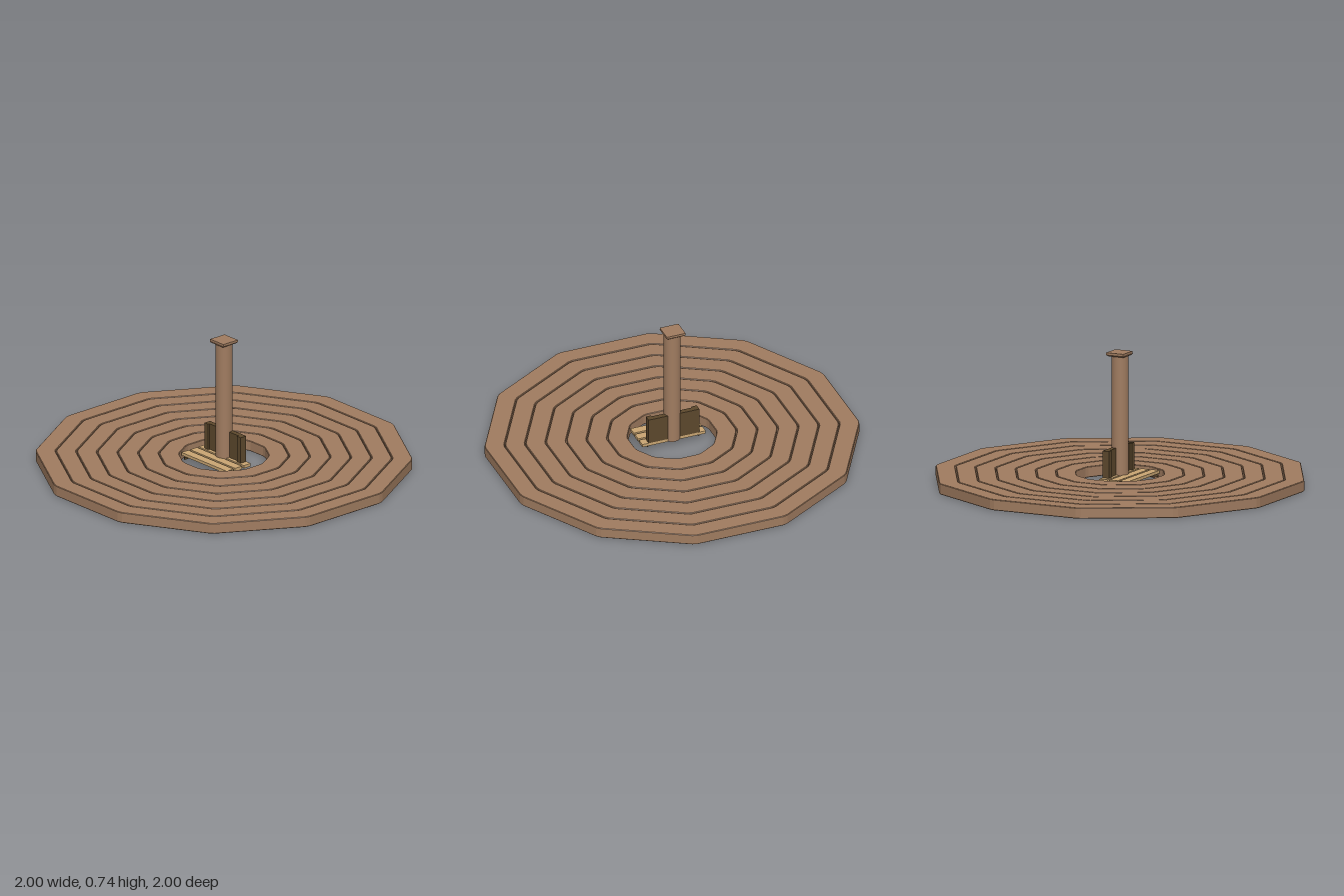
import * as THREE from 'three';

const SIDES = 12;
const wood = new THREE.MeshStandardMaterial({ color: 0xa07c60 });
const paleWood = new THREE.MeshStandardMaterial({ color: 0xcaa673 });
const darkWood = new THREE.MeshStandardMaterial({ color: 0x5c482c });

// Twelve-sided outline with softened corners; flat sides face the axes
function outline(apothem, cut) {
  const points = [];
  const half = apothem * Math.tan(Math.PI / SIDES) - cut;
  for (let i = 0; i < SIDES; i++) {
    const a = (i / SIDES) * Math.PI * 2;
    for (const t of [-half, half]) {
      points.push(new THREE.Vector2(
        apothem * Math.cos(a) - t * Math.sin(a),
        apothem * Math.sin(a) + t * Math.cos(a)));
    }
  }
  return points;
}

// One ring of the deck, with slightly eased edges
function deckRing(inner, outer, height) {
  const bevel = 0.003;
  const shape = new THREE.Shape(outline(outer, 0.015));
  shape.holes.push(new THREE.Path(outline(inner, 0.012).reverse()));
  const geometry = new THREE.ExtrudeGeometry(shape, {
    depth: height - 2 * bevel, bevelThickness: bevel, bevelSize: bevel,
    bevelOffset: -bevel, bevelSegments: 1,
  });
  geometry.rotateX(-Math.PI / 2);
  geometry.translate(0, bevel, 0);
  return geometry;
}

function add(group, name, geometry, material, x = 0, y = 0, z = 0) {
  const mesh = new THREE.Mesh(geometry, material);
  mesh.name = name;
  mesh.position.set(x, y, z);
  group.add(mesh);
  return mesh;
}

// Box given by its limits on each axis
function addBox(group, name, material, [x0, x1], [y0, y1], [z0, z1]) {
  return add(group, name, new THREE.BoxGeometry(x1 - x0, y1 - y0, z1 - z0), material,
    (x0 + x1) / 2, (y0 + y1) / 2, (z0 + z1) / 2);
}

export function createModel() {
  const model = new THREE.Group();
  model.name = 'deckWithPost';

  // Concentric deck rings with narrow gaps
  const deck = new THREE.Group();
  deck.name = 'deck';
  const rings = 7, hole = 0.24, gap = 0.005;
  const pitch = (1 - hole + gap) / rings;
  for (let i = 0; i < rings; i++) {
    const inner = hole + i * pitch;
    add(deck, 'deckRing', deckRing(inner, inner + pitch - gap, 0.06), wood);
  }
  model.add(deck);

  // Seat slats across the central opening
  const seat = new THREE.Group();
  seat.name = 'seat';
  for (const z of [-0.005, 0.058, 0.121]) {
    addBox(seat, 'seatSlat', paleWood, [-0.187, 0.187], [0.038, 0.055], [z - 0.025, z + 0.025]);
  }
  // Thin bearers beneath the slats
  for (const side of [-1, 1]) {
    const x = side * 0.15;
    addBox(seat, 'seatBearer', darkWood, [x - 0.004, x + 0.004], [0.026, 0.038], [-0.02, 0.158]);
  }
  model.add(seat);

  // Backrest panel with thicker end stiles
  const back = new THREE.Group();
  back.name = 'backrest';
  addBox(back, 'backPanel', darkWood, [-0.12, 0.12], [0.05, 0.205], [-0.03, 0]);
  for (const side of [-1, 1]) {
    const x = side * 0.135;
    addBox(back, 'backStile', darkWood, [x - 0.015, x + 0.015], [0.05, 0.205], [-0.03, 0.01]);
  }
  model.add(back);

  // Round post with a square cap
  const post = new THREE.Group();
  post.name = 'post';
  add(post, 'postShaft', new THREE.CylinderGeometry(0.047, 0.047, 0.68, 24), wood, 0, 0.38, 0);
  const taper = new THREE.CylinderGeometry(0.055 * Math.SQRT2, 0.046 * Math.SQRT2, 0.008, 4).toNonIndexed();
  taper.rotateY(Math.PI / 4);
  taper.computeVertexNormals();
  add(post, 'capUnderside', taper, wood, -0.003, 0.718, 0);
  addBox(post, 'postCap', wood, [-0.058, 0.052], [0.722, 0.735], [-0.055, 0.05]);
  model.add(post);

  return model;
}
